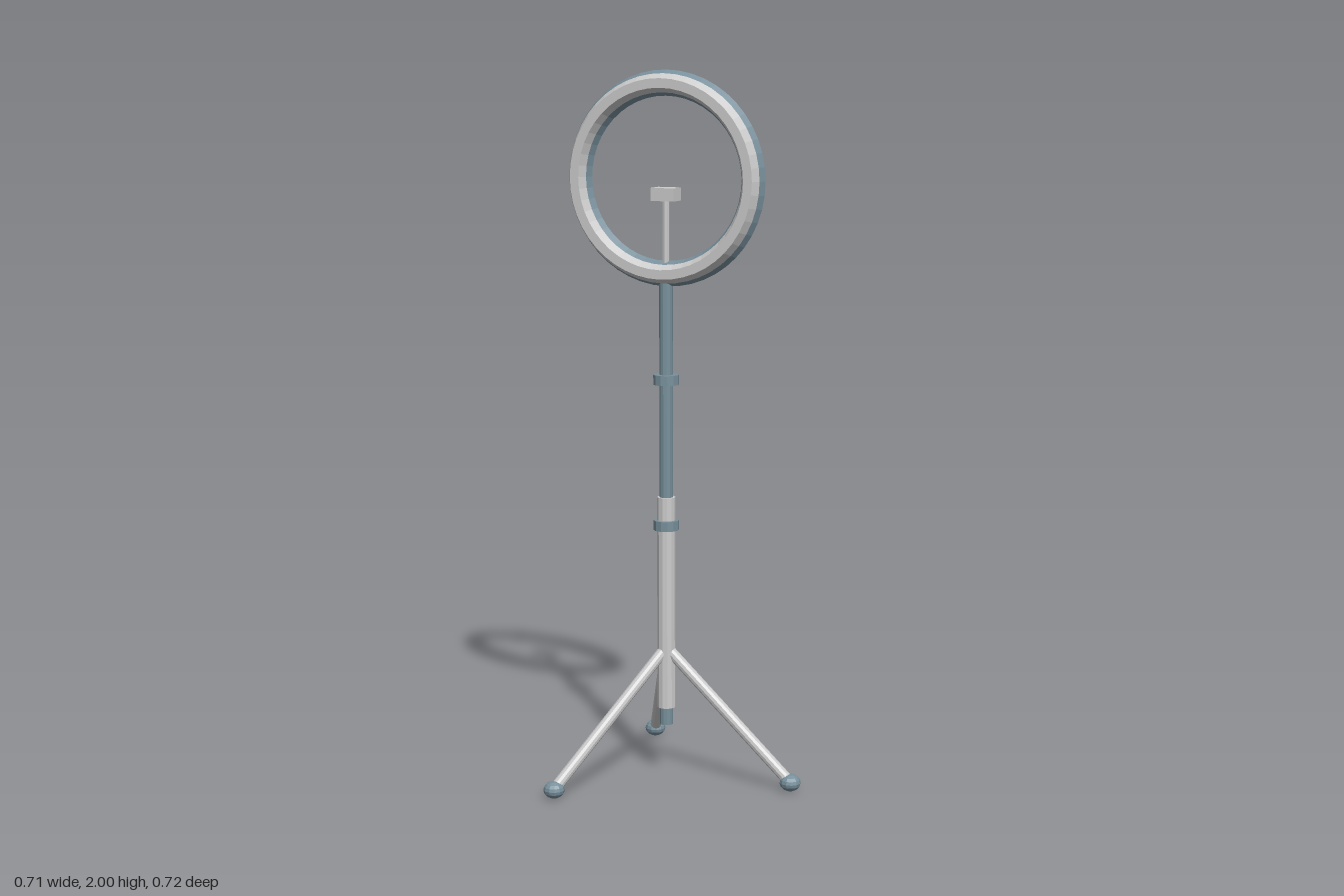
import * as THREE from 'three';

export function createModel() {
  const model = new THREE.Group();
  model.name = 'ringLightStand';
  const grey = new THREE.MeshStandardMaterial({ color: 0xcccccc, flatShading: true });
  const slate = new THREE.MeshStandardMaterial({ color: 0x78909c, flatShading: true });

  // Everything hangs on one vertical axis
  const stand = new THREE.Group();
  stand.name = 'stand';
  stand.position.x = -0.058;
  model.add(stand);

  function add(name, geometry, material, x = 0, y = 0, z = 0) {
    const mesh = new THREE.Mesh(geometry, material);
    mesh.name = name;
    mesh.position.set(x, y, z);
    stand.add(mesh);
    return mesh;
  }

  // Upright cylinder spanning y0..y1
  function post(name, radius, y0, y1, material, sides = 12) {
    return add(name, new THREE.CylinderGeometry(radius, radius, y1 - y0, sides), material, 0, (y0 + y1) / 2);
  }

  // Telescopic column
  post('columnPlug', 0.019, 0.15, 0.21, slate);
  post('lowerTube', 0.026, 0.2, 0.81, grey);
  post('upperTube', 0.019, 0.8, 1.43, slate);
  post('lowerCollar', 0.036, 0.716, 0.744, slate);
  post('upperCollar', 0.036, 1.13, 1.158, slate);

  // Ring light: housing behind, diffuser in front, both hexagonal in section
  add('ringHousing', new THREE.TorusGeometry(0.262, 0.0355, 6, 48), slate, 0, 1.7025, 0);
  add('ringDiffuser', new THREE.TorusGeometry(0.262, 0.026, 6, 48), grey, 0, 1.7025, 0.02);

  // Holder inside the ring
  post('holderRod', 0.01, 1.42, 1.65, grey, 8);
  add('holderBlock', new THREE.BoxGeometry(0.07, 0.036, 0.05), grey, 0, 1.66, 0);

  // Three splayed legs with flattened feet
  const up = new THREE.Vector3(0, 1, 0);
  for (let i = 0; i < 3; i++) {
    const a = (i * Math.PI * 2) / 3;
    const top = new THREE.Vector3(0, 0.375, 0);
    const foot = new THREE.Vector3(Math.cos(a) * 0.382, 0.025, Math.sin(a) * 0.382);
    const axis = foot.clone().sub(top);
    const mid = top.clone().add(foot).multiplyScalar(0.5);
    const leg = add('leg' + (i + 1), new THREE.CylinderGeometry(0.016, 0.016, axis.length(), 12), grey, mid.x, mid.y, mid.z);
    leg.quaternion.setFromUnitVectors(up, axis.normalize());
    const pad = add('foot' + (i + 1), new THREE.SphereGeometry(0.03, 12, 8), slate, foot.x, foot.y, foot.z);
    pad.scale.y = 0.8;
  }
  return model;
}
